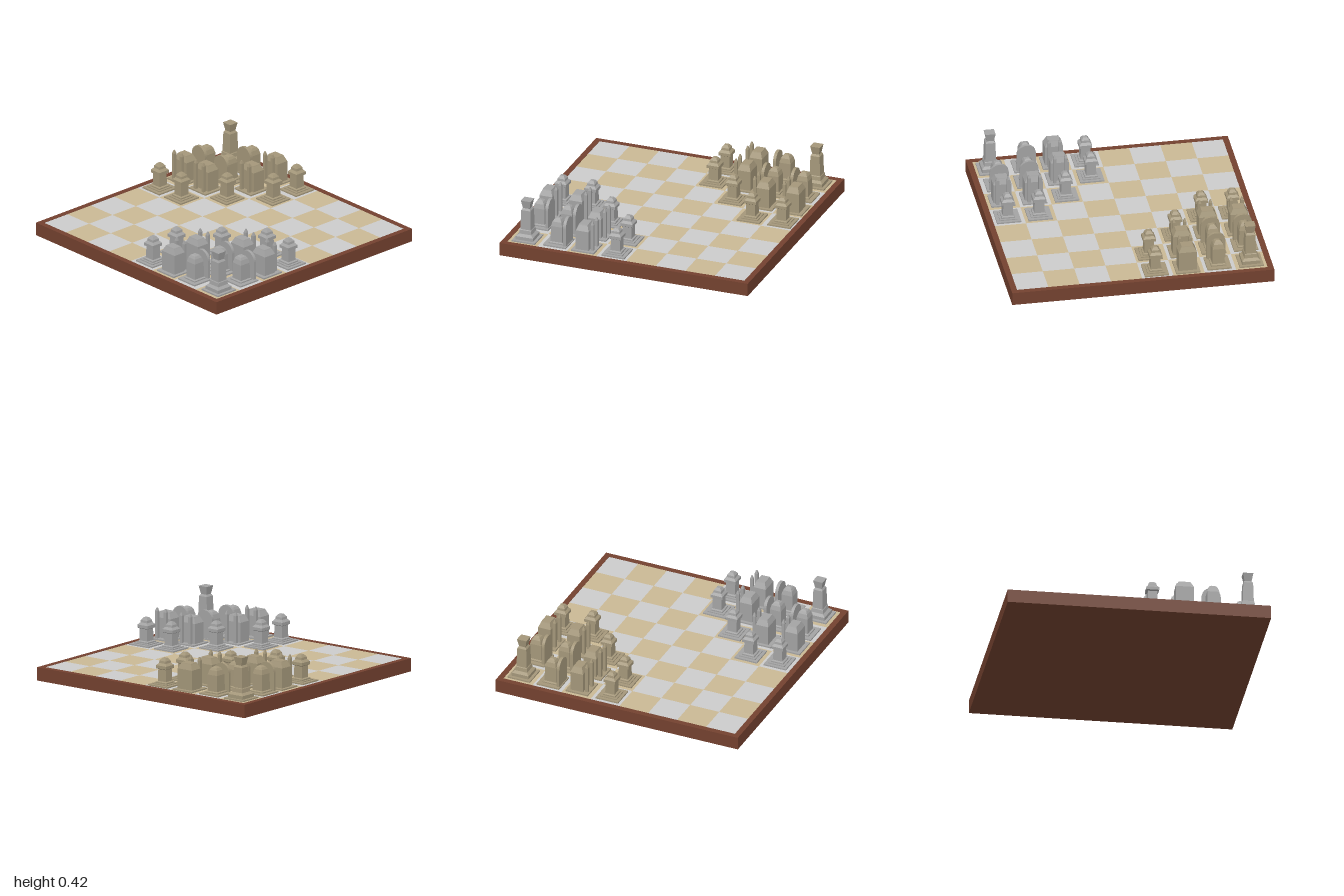
import * as THREE from 'three';

const DECK = 0.1; // height of the playing surface
const CELL = 0.239;

const paint = (color) => new THREE.MeshStandardMaterial({ color, flatShading: true });

function add(parent, geometry, material, name, x = 0, y = 0, z = 0) {
  const mesh = new THREE.Mesh(geometry, material);
  mesh.name = name;
  mesh.position.set(x, y, z);
  parent.add(mesh);
  return mesh;
}

// Square turned shape: profile of [half width, height], closed at both ends
function squareTurned(profile, depthRatio = 1) {
  const pts = [[0, profile[0][1]], ...profile, [0, profile[profile.length - 1][1]]]
    .map(([r, y]) => new THREE.Vector2(r * Math.SQRT2, y));
  return new THREE.LatheGeometry(pts, 4, Math.PI / 4).scale(1, 1, depthRatio);
}

// Heights below are measured from the playing surface
const foot = squareTurned([[0.092, 0], [0.092, 0.011]]);

const pawnBody = squareTurned([
  [0.067, 0.01], [0.067, 0.018], [0.05, 0.018], [0.05, 0.028], [0.038, 0.034], [0.036, 0.125],
  [0.048, 0.132], [0.048, 0.155], [0.032, 0.172], [0.03, 0.19], [0.015, 0.21],
]);

const kingBody = squareTurned([
  [0.069, 0.01], [0.069, 0.038], [0.05, 0.055], [0.046, 0.085], [0.042, 0.09],
  [0.037, 0.245], [0.03, 0.256], [0.027, 0.26], [0.039, 0.323],
]);

const towerBody = squareTurned([
  [0.069, 0.01], [0.069, 0.165], [0.048, 0.205], [0.045, 0.212],
], 0.75);

const post = squareTurned([[0.012, 0.01], [0.012, 0.22], [0.004, 0.246]]);

const guardBody = squareTurned([
  [0.058, 0.01], [0.058, 0.02], [0.047, 0.026], [0.045, 0.15],
  [0.036, 0.185], [0.025, 0.203], [0.012, 0.212],
]);

// Round-headed upright slab
function archSlab(halfWidth, spring, thickness) {
  const shape = new THREE.Shape();
  shape.moveTo(-halfWidth, 0.01);
  shape.lineTo(halfWidth, 0.01);
  shape.lineTo(halfWidth, spring);
  shape.absarc(0, spring, halfWidth, 0, Math.PI, false);
  shape.closePath();
  return new THREE.ExtrudeGeometry(shape, { depth: thickness, bevelEnabled: false, curveSegments: 8 })
    .translate(0, 0, -thickness / 2);
}
const shield = archSlab(0.072, 0.155, 0.023);

const builders = {
  king(piece, mat) {
    add(piece, kingBody, mat, 'kingColumn');
  },
  guard(piece, mat) {
    add(piece, guardBody, mat, 'guardBody');
    add(piece, shield, mat, 'shield', 0, 0, 0.074);
  },
  tower(piece, mat) {
    add(piece, towerBody, mat, 'towerBody', 0, 0, -0.01);
    for (const side of [-1, 1]) add(piece, post, mat, 'towerPost', side * 0.042, 0, 0.064);
  },
  pawn(piece, mat) {
    add(piece, pawnBody, mat, 'pawnBody');
  },
};

// Positions of each army as [x, z]
const backArmy = {
  king: [[-0.84, -0.84]],
  guard: [[-0.595, -0.835], [-0.84, -0.6], [-0.595, -0.6]],
  tower: [[-0.355, -0.85], [-0.355, -0.61], [-0.835, -0.365], [-0.595, -0.365]],
  pawn: [[-0.115, -0.85], [-0.11, -0.605], [-0.355, -0.36], [-0.835, -0.115], [-0.595, -0.115]],
};
const frontArmy = {
  king: [[0.845, 0.835]],
  guard: [[0.6, 0.6], [0.83, 0.59], [0.58, 0.83]],
  tower: [[0.6, 0.355], [0.84, 0.36], [0.36, 0.6], [0.36, 0.84]],
  pawn: [[0.6, 0.115], [0.84, 0.115], [0.355, 0.35], [0.12, 0.595], [0.12, 0.835]],
};

function buildArmy(name, layout, mat, turn) {
  const army = new THREE.Group();
  army.name = name;
  for (const [kind, places] of Object.entries(layout)) {
    for (const [x, z] of places) {
      const piece = new THREE.Group();
      piece.name = kind;
      piece.position.set(x, DECK, z);
      piece.rotation.y = turn;
      add(piece, foot, mat, 'foot');
      builders[kind](piece, mat);
      army.add(piece);
    }
  }
  return army;
}

function buildBoard() {
  const board = new THREE.Group();
  board.name = 'board';
  const wood = paint(0x73412f);
  const light = paint(0xcccccc);
  const tan = paint(0xcab894);

  // Base slab and raised rim
  add(board, new THREE.BoxGeometry(1.92, 0.09, 1.92), wood, 'boardBase', 0, 0.045, 0);
  for (const side of [-1, 1]) {
    add(board, new THREE.BoxGeometry(2, 0.102, 0.044), wood, 'rim', 0, 0.051, side * 0.978);
    add(board, new THREE.BoxGeometry(0.044, 0.102, 1.912), wood, 'rim', side * 0.978, 0.051, 0);
  }

  // Chequered squares
  const tile = new THREE.BoxGeometry(CELL, 0.01, CELL);
  for (let row = 0; row < 8; row++) {
    for (let col = 0; col < 8; col++) {
      add(board, tile, (row + col) % 2 ? light : tan, 'square',
        (col - 3.5) * CELL, DECK - 0.005, (row - 3.5) * CELL);
    }
  }
  return board;
}

export function createModel() {
  const model = new THREE.Group();
  model.name = 'boardGame';
  model.add(buildBoard());
  model.add(buildArmy('bronzeArmy', backArmy, paint(0xa4977a), 0));
  model.add(buildArmy('greyArmy', frontArmy, paint(0xa3a3a3), Math.PI));
  return model;
}
